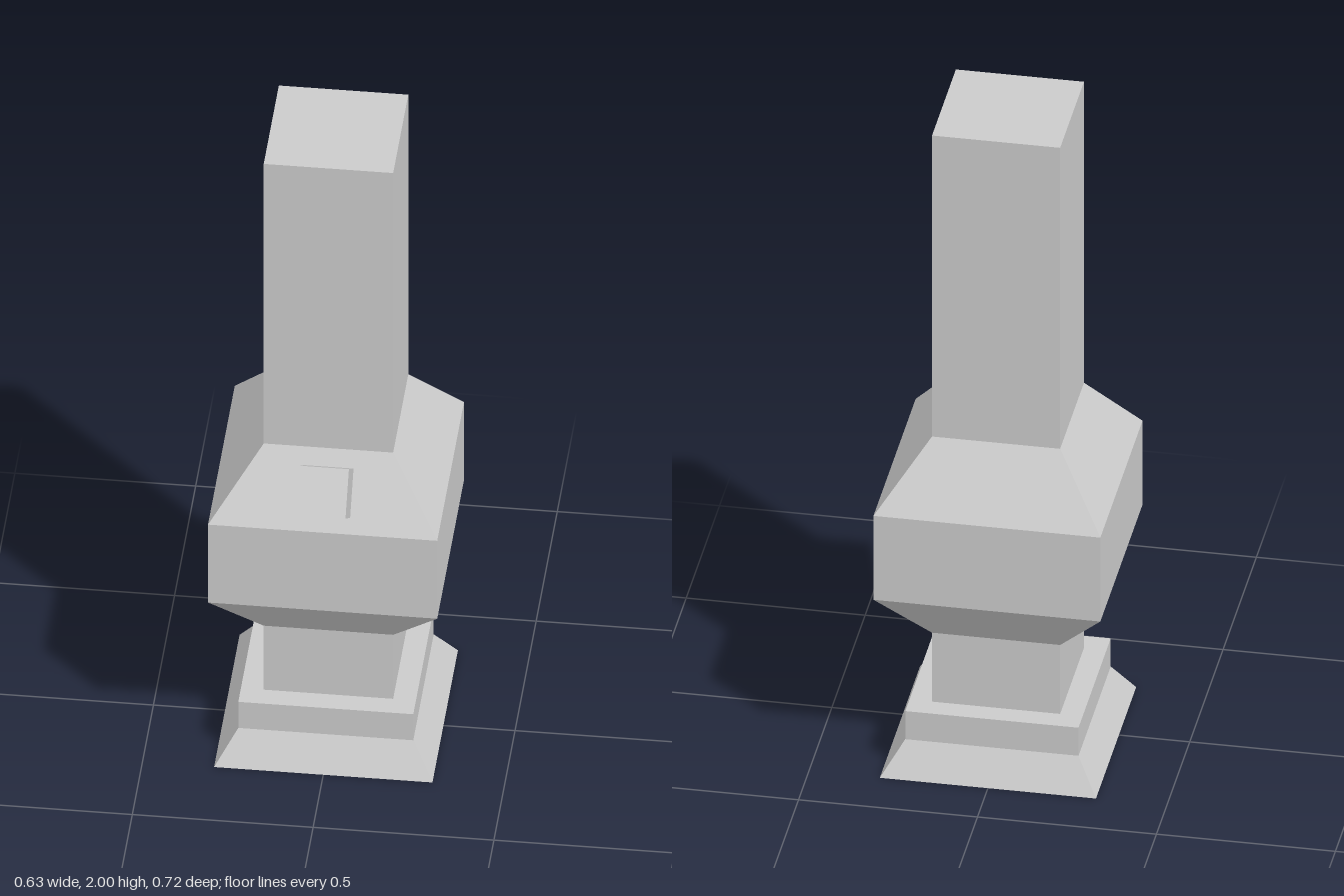
import * as THREE from 'three';

const CENTER_Z = -0.042; // the body sits slightly behind the origin

// Square-section solid from [halfWidth, y] pairs, listed bottom to top
function squareLathe(name, profile, material) {
  const points = profile.map(([half, y]) => new THREE.Vector2(half * Math.SQRT2, y));
  const geometry = new THREE.LatheGeometry(points, 4, Math.PI / 4).toNonIndexed();
  geometry.computeVertexNormals();
  const mesh = new THREE.Mesh(geometry, material);
  mesh.name = name;
  mesh.position.z = CENTER_Z;
  return mesh;
}

export function createModel() {
  const group = new THREE.Group();
  group.name = 'waterPipe';
  const material = new THREE.MeshStandardMaterial({ color: 0xcccccc, flatShading: true });

  // Flared foot with a straight collar
  group.add(squareLathe('base', [
    [0, 0], [0.302, 0], [0.242, 0.095], [0.242, 0.185], [0.179, 0.185],
  ], material));

  // Lower neck, swollen chamber and tall tube as one continuous body
  group.add(squareLathe('body', [
    [0.179, 0.185], [0.179, 0.406], [0.317, 0.578], [0.317, 0.847],
    [0.179, 1.035], [0.179, 2], [0, 2],
  ], material));

  // Small bowl standing square to the front shoulder
  const size = 0.136, depth = 0.15, tilt = 0.635;
  const bowl = new THREE.Mesh(new THREE.BoxGeometry(size, size, depth), material);
  bowl.name = 'bowl';
  bowl.rotation.x = -tilt;
  bowl.position.set(
    0.005,
    1.02 - Math.sin(tilt) * depth / 2,
    0.318 - Math.cos(tilt) * depth / 2,
  );
  group.add(bowl);

  return group;
}
